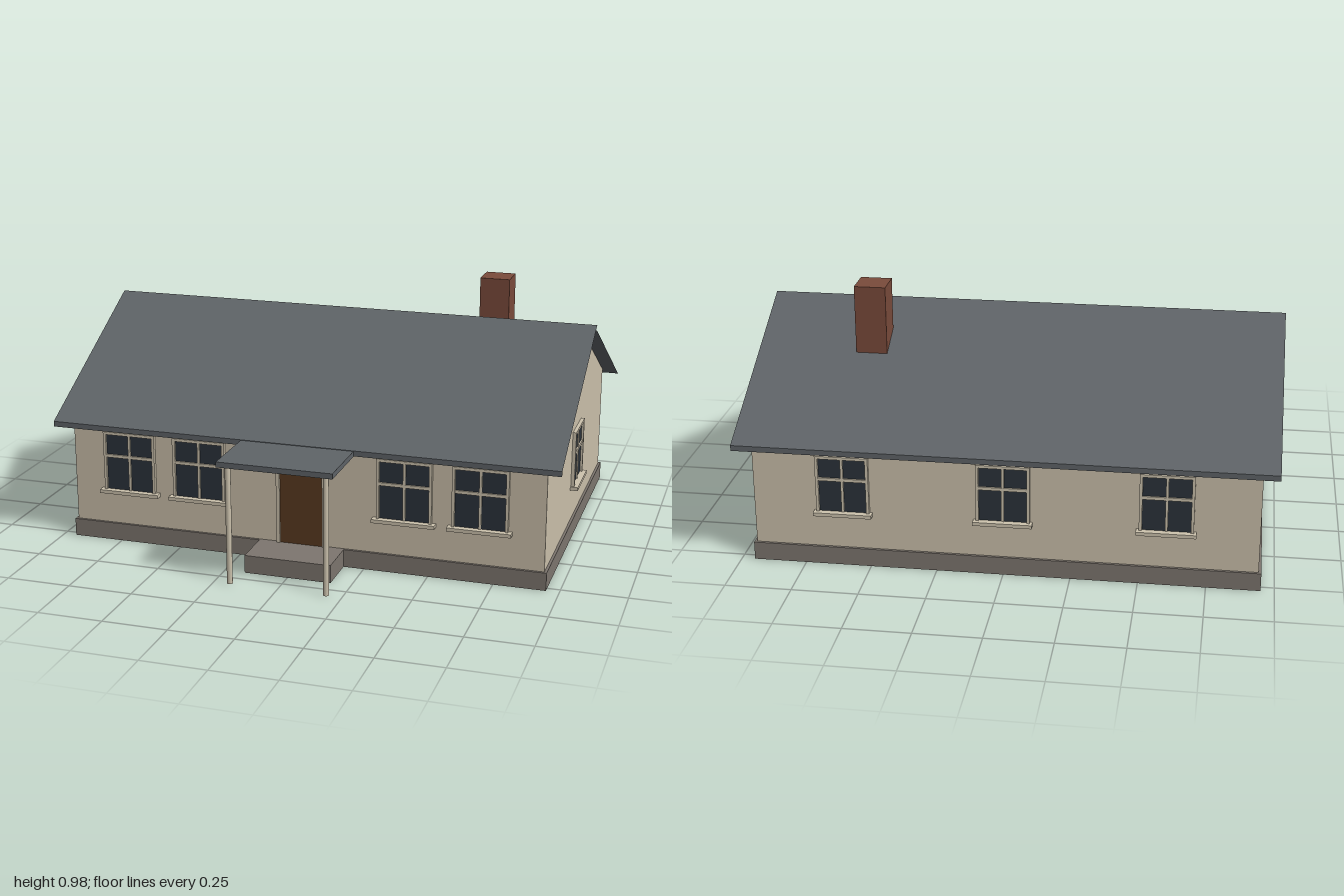
import * as THREE from 'three';

const mat = (name, color, side = THREE.FrontSide) => {
  const m = new THREE.MeshStandardMaterial({ color, side });
  m.name = name;
  return m;
};

export function createModel() {
  const house = new THREE.Group();
  house.name = 'house';
  const wallMat = mat('wall cream', 0xcbc0ab);
  const trimMat = mat('trim cream', 0xcdc3ae);
  const roofMat = mat('roof slate', 0x5f6468);
  const stoneMat = mat('foundation grey', 0x7d766f);
  const brickMat = mat('chimney brick', 0x7a4b3b);
  const doorMat = mat('door wood', 0x5a3a20);
  const glassMat = mat('window glass', 0x2b333b);

  // Box given by its minimum and maximum on each axis
  const box = (parent, name, material, x0, x1, y0, y1, z0, z1) => {
    const mesh = new THREE.Mesh(new THREE.BoxGeometry(x1 - x0, y1 - y0, z1 - z0), material);
    mesh.position.set((x0 + x1) / 2, (y0 + y1) / 2, (z0 + z1) / 2);
    mesh.name = name;
    parent.add(mesh);
    return mesh;
  };

  const WALL_X = 0.94, FRONT = 0.515, BACK = -0.77, RIDGE = -0.13;

  // Foundation and entrance step
  box(house, 'foundation', stoneMat, -0.95, 0.95, 0, 0.07, -0.78, 0.525);
  box(house, 'entranceStep', stoneMat, -0.17, 0.17, 0, 0.07, 0.52, 0.69);

  // Walls with gables, kept just under the roof surface
  const section = new THREE.Shape([
    [FRONT, 0.065], [FRONT, 0.511], [RIDGE, 0.848], [BACK, 0.511], [BACK, 0.065],
  ].map(([z, y]) => new THREE.Vector2(z, y)));
  const wallGeo = new THREE.ExtrudeGeometry(section, { depth: WALL_X * 2, bevelEnabled: false });
  wallGeo.rotateY(-Math.PI / 2).translate(WALL_X, 0, 0);
  const walls = new THREE.Mesh(wallGeo, wallMat);
  walls.name = 'walls';
  house.add(walls);

  // Roof: profile loop swept along x, open at the gable ends
  const profile = [
    [0.57, 0.486], [RIDGE, 0.853], [-0.83, 0.486],
    [-0.83, 0.465], [RIDGE, 0.832], [0.57, 0.465],
  ];
  const verts = [];
  profile.forEach(([z0, y0], i) => {
    const [z1, y1] = profile[(i + 1) % profile.length];
    verts.push(-1, y0, z0, 1, y0, z0, 1, y1, z1);
    verts.push(-1, y0, z0, 1, y1, z1, -1, y1, z1);
  });
  const roofGeo = new THREE.BufferGeometry();
  roofGeo.setAttribute('position', new THREE.Float32BufferAttribute(verts, 3));
  roofGeo.computeVertexNormals();
  const roof = new THREE.Mesh(roofGeo, roofMat);
  roof.name = 'roof';
  house.add(roof);

  // Chimney
  box(house, 'chimney', brickMat, 0.5, 0.62, 0.65, 0.975, -0.4, -0.28);

  // Porch roof and posts
  box(house, 'porchRoof', roofMat, -0.222, 0.222, 0.463, 0.484, 0.516, 0.83);
  for (const side of [-1, 1]) {
    const post = new THREE.Mesh(new THREE.CylinderGeometry(0.011, 0.011, 0.465, 12), trimMat);
    post.position.set(side * 0.188, 0.2325, 0.8);
    post.name = side > 0 ? 'leftPorchPost' : 'rightPorchPost';
    house.add(post);
  }

  // Door with its surround
  const entrance = new THREE.Group();
  entrance.name = 'entrance';
  entrance.position.z = FRONT;
  box(entrance, 'door', doorMat, -0.086, 0.086, 0.07, 0.43, 0, 0.006);
  for (const s of [-1, 1]) box(entrance, 'doorJamb', trimMat, s * 0.092 - 0.007, s * 0.092 + 0.007, 0.07, 0.43, 0, 0.013);
  box(entrance, 'doorHead', trimMat, -0.099, 0.099, 0.43, 0.442, 0, 0.013);
  house.add(entrance);

  // Window built facing +z with its back on z = 0, then turned onto its wall
  const addWindow = (name, x, z, turn, half, y0, y1, sill) => {
    const w = new THREE.Group();
    w.name = name;
    const f = 0.011, inner = half - f, mid = y0 + (y1 - y0) * 0.61;
    box(w, 'glass', glassMat, -inner, inner, y0, y1, 0, 0.005);
    for (const s of [-1, 1]) {
      const c = s * (half - f / 2);
      box(w, 'frameSide', trimMat, c - f / 2, c + f / 2, y0, y1, 0, 0.014);
    }
    box(w, 'frameTop', trimMat, -half, half, y1, y1 + f, 0, 0.014);
    box(w, 'mullion', trimMat, -0.005, 0.005, y0, y1, 0, 0.01);
    box(w, 'transom', trimMat, -inner, inner, mid - 0.006, mid + 0.006, 0, 0.011);
    box(w, 'sill', trimMat, -sill, sill, y0 - 0.014, y0, 0, 0.03);
    w.position.set(x, 0, z);
    w.rotation.y = turn;
    house.add(w);
  };
  for (const x of [-0.705, -0.415, 0.405, 0.695]) addWindow('frontWindow', x, FRONT, 0, 0.107, 0.213, 0.438, 0.122);
  for (const x of [-0.6, 0, 0.6]) addWindow('backWindow', x, BACK, Math.PI, 0.1, 0.218, 0.43, 0.11);
  for (const s of [-1, 1]) addWindow(s > 0 ? 'leftWindow' : 'rightWindow', s * WALL_X, -0.125, s * Math.PI / 2, 0.1, 0.218, 0.43, 0.11);

  return house;
}
